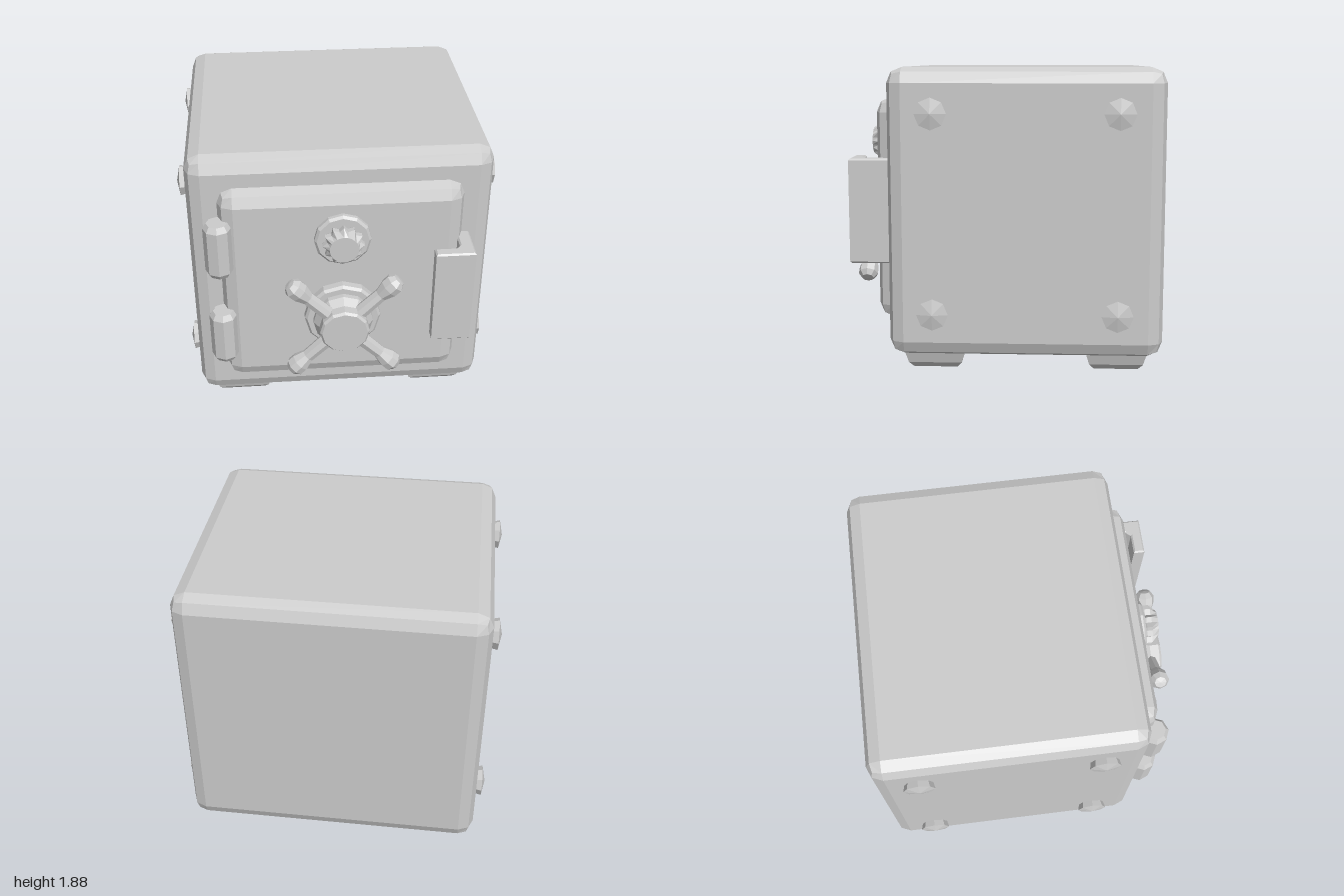
import * as THREE from 'three';
import { RoundedBoxGeometry } from 'three/addons/geometries/RoundedBoxGeometry.js';

const material = new THREE.MeshStandardMaterial({ color: 0xcccccc, flatShading: true });

function add(parent, name, geometry, x = 0, y = 0, z = 0) {
  const mesh = new THREE.Mesh(geometry, material);
  mesh.name = name;
  mesh.position.set(x, y, z);
  parent.add(mesh);
  return mesh;
}

// Faceted turned part around +y; profile is [radius, height] from bottom to top
function turned(profile, sides) {
  return new THREE.LatheGeometry(profile.map(([r, h]) => new THREE.Vector2(r, h)), sides);
}

// Turned part facing the front
const turnedFront = (profile, sides) => turned(profile, sides).rotateX(Math.PI / 2);

// Box with two-facet bevels given by its limits
function bevelledBox(parent, name, w, y0, y1, z0, z1, radius) {
  const geometry = new RoundedBoxGeometry(w, y1 - y0, z1 - z0, 1, radius);
  return add(parent, name, geometry, 0, (y0 + y1) / 2, (z0 + z1) / 2);
}

// Grip with alternating ridges: every other vertex of the middle rows moves inward
function dialKnobGeometry() {
  const profile = [[0, 0], [0.11, 0], [0.128, 0.025], [0.128, 0.06], [0.088, 0.105], [0, 0.105]];
  const geometry = turned(profile, 24);
  const p = geometry.attributes.position;
  for (let i = 0; i < p.count; i++) {
    const row = i % profile.length;
    const column = Math.floor(i / profile.length);
    if (row >= 1 && row <= 3 && column % 2 === 1) {
      p.setX(i, p.getX(i) * 0.8);
      p.setZ(i, p.getZ(i) * 0.8);
    }
  }
  return geometry.rotateX(Math.PI / 2);
}

// L-shaped catch, drawn from above and extruded upward
function catchGeometry(height) {
  const outline = [[0.797, 0.66], [0.797, 0.94], [0.553, 0.94], [0.553, 0.867],
    [0.685, 0.867], [0.713, 0.835], [0.713, 0.66]];
  const shape = new THREE.Shape(outline.map(([x, z]) => new THREE.Vector2(x, -z)));
  const b = 0.01;
  return new THREE.ExtrudeGeometry(shape, {
    depth: height - 2 * b, bevelThickness: b, bevelSize: b, bevelOffset: -b, bevelSegments: 1,
  }).translate(0, 0, b).rotateX(-Math.PI / 2);
}

export function createModel() {
  const model = new THREE.Group();
  model.name = 'safe';

  // Cabinet and door
  bevelledBox(model, 'body', 1.87, 0.1, 1.875, -1, 0.688, 0.095);
  bevelledBox(model, 'door', 1.5, 0.285, 1.69, 0.5, 0.78, 0.095);

  // Tapered square feet
  const r2 = Math.SQRT2;
  const foot = turned([[0, 0], [0.137 * r2, 0], [0.167 * r2, 0.035], [0.187 * r2, 0.105], [0, 0.105]], 4)
    .rotateY(Math.PI / 4);
  for (const x of [-0.655, 0.655]) {
    for (const z of [0.41, -0.72]) add(model, 'foot', foot, x, 0, z);
  }

  // Side bolts with pointed octagonal heads
  const bolt = turned([[0, -0.03], [0.08, -0.03], [0.097, 0.04], [0, 0.06]], 8);
  for (const side of [-1, 1]) {
    for (const y of [0.38, 1.6]) {
      for (const z of [0.41, -0.715]) {
        add(model, 'sideBolt', bolt, side * 0.935, y, z).rotation.z = -side * Math.PI / 2;
      }
    }
  }

  // Hinge barrels
  const h = 0.185;
  const hinge = turned([[0, -h], [0.065, -h], [0.088, -h + 0.035], [0.088, h - 0.035], [0.065, h], [0, h]], 8);
  for (const y of [0.66, 1.315]) add(model, 'hinge', hinge, -0.753, y, 0.763);

  // Door catch
  add(model, 'doorCatch', catchGeometry(0.655), 0, 0.66, 0);

  // Combination dial
  const dial = new THREE.Group();
  dial.name = 'combinationDial';
  dial.position.set(0, 1.365, 0);
  model.add(dial);
  add(dial, 'dialPlate', turnedFront([[0, 0.75], [0.175, 0.75], [0.175, 0.805], [0.16, 0.82], [0, 0.82]], 12));
  add(dial, 'dialKnob', dialKnobGeometry(), 0, 0, 0.81);

  // Handwheel with four knobbed spokes
  const wheel = new THREE.Group();
  wheel.name = 'handwheel';
  wheel.position.set(0, 0.8, 0);
  model.add(wheel);
  add(wheel, 'wheelPlate', turnedFront([[0, 0.75], [0.24, 0.75], [0.24, 0.825], [0.225, 0.842], [0, 0.842]], 12));
  add(wheel, 'wheelHub', turnedFront([[0, 0.82], [0.188, 0.82], [0.188, 0.875], [0.155, 0.925],
    [0.155, 0.985], [0.142, 1], [0, 1]], 12));
  const spoke = turned([[0, 0.1], [0.048, 0.1], [0.043, 0.32], [0.064, 0.39], [0.065, 0.44],
    [0.04, 0.473], [0, 0.478]], 8);
  for (let i = 0; i < 4; i++) {
    add(wheel, 'wheelSpoke', spoke, 0, 0, 0.92).rotation.z = Math.PI / 4 + i * Math.PI / 2;
  }

  return model;
}
